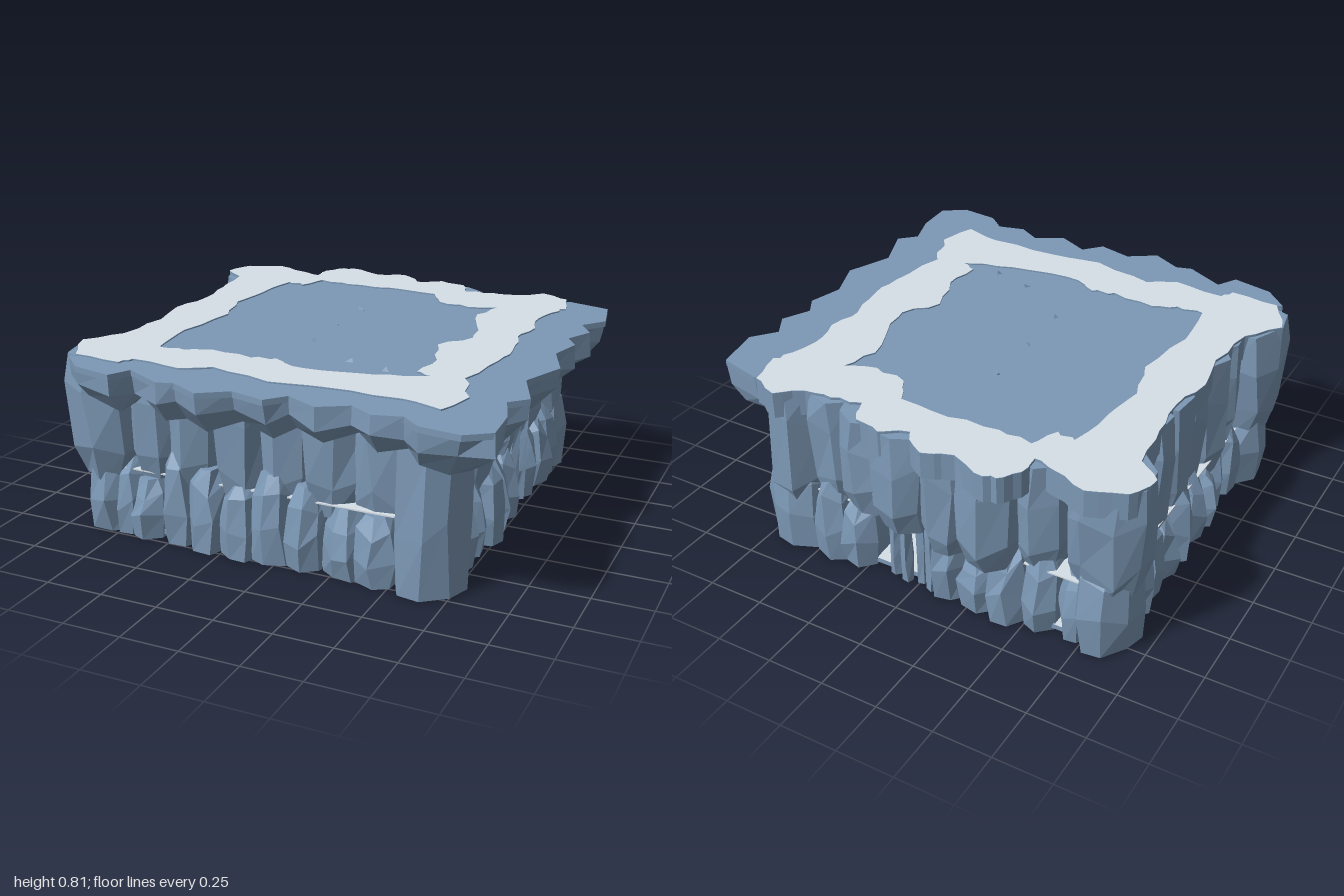
import * as THREE from 'three';

const slate = new THREE.MeshStandardMaterial({ color: 0x7c98b5, flatShading: true, side: THREE.DoubleSide });
slate.name = 'slate blue rock';
const pale = new THREE.MeshStandardMaterial({ color: 0xd8e1e8, flatShading: true });
pale.name = 'pale grey stone';

let seed = 11;
const rnd = () => (seed = (seed * 16807) % 2147483647) / 2147483647;
const jit = a => (rnd() - 0.5) * 2 * a;

// x,z outlines of the pale rim and of the overhanging shelf
const rimOuter = [-.98,-.7, -.93,-.83, -.78,-.89, -.62,-.83, -.53,-.8, -.53,-.9, -.47,-.98, -.38,-.99, -.26,-.93, -.14,-.98,
  -.03,-.88, .08,-.94, .2,-.91, .25,-.8, .38,-.83, .5,-.84, .6,-.92, .73,-.86, .77,-.7, .73,-.62, .7,-.5, .73,-.35,
  .7,-.2, .74,0, .73,.15, .68,.42, .77,.62, .72,.79, .55,.74, .22,.74, 0,.77, -.28,.7, -.4,.77, -.63,.74, -.66,.8,
  -.88,.78, -.97,.6, -.86,.45, -.83,.2, -.87,0, -.83,-.2, -.85,-.4, -.88,-.62];
const rimInner = [-.6,-.62, -.52,-.6, -.47,-.72, -.32,-.7, -.1,-.72, .13,-.7, .2,-.58, .35,-.55, .48,-.6, .43,-.45,
  .5,-.25, .53,-.1, .43,.05, .5,.25, .48,.42, .55,.45, .4,.5, .2,.55, 0,.56, -.1,.5, -.2,.53, -.4,.5, -.5,.55,
  -.62,.55, -.65,.3, -.6,0, -.66,-.2, -.63,-.4];
const shelfEdge = [-.9,.8, -.8,.9, -.62,.94, -.57,.85, -.4,.94, -.33,.92, -.2,.99, -.08,.91, .07,.95, .14,.87, .28,.94,
  .4,.87, .5,.93, .62,.9, .7,.97, .87,.99, .97,.92, .96,.75, .91,.6, .98,.53, .9,.33, .98,.13, .91,-.05, .95,-.2,
  .9,-.28, .96,-.4, .9,-.5, .98,-.6, .94,-.8, .75,-.85];

const pairs = a => Array.from({ length: a.length / 2 }, (_, i) => [a[2 * i], a[2 * i + 1]]);
const toShape = pts => new THREE.Shape(pts.map(([x, z]) => new THREE.Vector2(x, -z)));
const square = (cx, cz, r) => [[cx - r, cz - r], [cx + r, cz - r], [cx + r, cz + r], [cx - r, cz + r]];

// break every edge of an outline into small uneven steps
const rough = pts => pts.flatMap(([x, z], i) => {
  const [X, Z] = pts[(i + 1) % pts.length];
  return [0, .33, .67].map(t => [x + (X - x) * t + (t && jit(.012)), z + (Z - z) * t + (t && jit(.012))]);
});

function add(parent, name, geo, mat) {
  const m = new THREE.Mesh(geo, mat);
  m.name = name;
  parent.add(m);
  return m;
}

// horizontal plate from a plan outline
function plate(parent, name, shape, y, depth, mat) {
  const geo = depth ? new THREE.ExtrudeGeometry(shape, { depth, bevelEnabled: false }) : new THREE.ShapeGeometry(shape);
  geo.rotateX(-Math.PI / 2).translate(0, y, 0);
  return add(parent, name, geo, mat);
}

// skin over rows of points, optionally closed into a capped solid
function loft(rows, closed) {
  const p = [], n = rows[0].length;
  const tri = (...v) => v.forEach(q => p.push(...q));
  for (let r = 0; r < rows.length - 1; r++) {
    for (let i = 0; i < (closed ? n : n - 1); i++) {
      const j = (i + 1) % n, A = rows[r], B = rows[r + 1];
      tri(A[i], B[i], A[j]);
      tri(A[j], B[i], B[j]);
    }
  }
  if (closed) {
    const lo = rows[0], hi = rows[rows.length - 1];
    for (let i = 1; i < n - 1; i++) {
      tri(hi[0], hi[i + 1], hi[i]);
      tri(lo[0], lo[i], lo[i + 1]);
    }
  }
  const g = new THREE.BufferGeometry();
  g.setAttribute('position', new THREE.Float32BufferAttribute(p, 3));
  g.computeVertexNormals();
  return g;
}

// faceted boulder: levels are [height fraction, width factor]
function rock(parent, name, x, z, w, d, y0, y1, levels, sides = 7) {
  const turn = rnd() * 6;
  const shape = Array.from({ length: sides }, () => 1 + jit(0.1));
  const rows = levels.map(([t, s], k) => shape.map((f, i) => {
    const a = turn + (i + jit(0.15)) / sides * Math.PI * 2;
    const edge = k === 0 || k === levels.length - 1;
    const r = 0.53 * s * f * (1 + jit(0.06));
    return [x + Math.cos(a) * r * w, y0 + (y1 - y0) * (t + (edge ? 0 : jit(0.1))), z + Math.sin(a) * r * d];
  }));
  return add(parent, name, loft(rows, true), slate);
}

const UPPER = [[0, .7], [.25, .95], [.7, 1.03], [1, .95]];
const LOWER = [[0, .92], [.4, 1.05], [.78, .88], [1, .52]];
const PILLAR = [[0, 1], [.35, 1.04], [.7, 1], [1, .95]];

export function createModel() {
  const model = new THREE.Group();
  model.name = 'rockPlateau';
  const walls = new THREE.Group();
  walls.name = 'cliffWalls';
  model.add(walls);

  // flat top, pale rim and the rock edge beneath it
  const rim = toShape(rough(pairs(rimOuter)));
  rim.holes.push(toShape(rough(pairs(rimInner))));
  plate(model, 'rimRock', rim, 0.68, 0.115, slate);
  plate(model, 'paleRim', rim, 0.797, 0, pale);
  const edge = pairs(shelfEdge);
  plate(model, 'topSlab', toShape([...edge, [.5, -.77], [-.5, -.77], [-.72, -.7], [-.75, .7]]), 0.765, 0.025, slate);

  // undercut shelf along the front and right; its bulges hang lower than its notches
  const profile = [[.79, 0, 0], [.7, .03, .02], [.63, .25, .012], [.63, 1, 0]];
  const shelfRows = profile.map(([y, t, j]) => edge.map(([x, z]) => {
    const tx = Math.min(x, .6), tz = Math.min(z, .62), k = t + (j ? jit(0.06) : 0);
    const sag = t > .1 ? (Math.max(x, z) - .91) * .45 : 0;
    return [x + (tx - x) * k, y - sag + jit(j), z + (tz - z) * k];
  }));
  add(model, 'overhangShelf', loft(shelfRows, false), slate);

  // two tiers of boulders on every side
  const backEdge = x => (x < -.52 ? -.85 : x < .22 ? -.95 : -.86);
  const sides = [
    { name: 'front', alongX: true, from: -.7, to: .52, up: () => .74, low: .79, dir: 1, base: .24 },
    { name: 'back', alongX: true, from: -.63, to: .5, up: backEdge, low: -.88, dir: -1, base: .29, gap: [-.1, .15] },
    { name: 'right', alongX: false, from: -.58, to: .52, up: () => .72, low: .76, dir: 1, base: .24, gap: [-.34, -.1] },
    { name: 'left', alongX: false, from: -.6, to: .5, up: () => -.86, low: -.9, dir: -1, base: .22 },
  ];
  for (const s of sides) {
    const span = s.to - s.from;
    const put = (name, u, outer, w, d, ...rest) => {
      const v = outer - s.dir * d / 2;
      if (s.alongX) rock(walls, name, u, v, w, d, ...rest);
      else rock(walls, name, v, u, d, w, ...rest);
    };
    for (let i = 0; i < 6; i++) {
      const u = s.from + span * (i + .5) / 6;
      put(s.name + 'UpperRock', u + jit(.012), s.up(u) + jit(.012), span / 6 * 1.32, .28, s.base + jit(.04), .785, UPPER);
    }
    for (let i = 0; i < 8; i++) {
      const u = s.from + span * (i + .5) / 8;
      const y1 = .33 + jit(.08), outer = s.low + jit(.02);
      if (s.gap && u > s.gap[0] && u < s.gap[1]) continue;
      put(s.name + 'LowerRock', u + jit(.01), outer, span / 8 * 1.22, .24, .003, y1, LOWER);
    }
    // slender stone splinters standing in the gaps
    if (s.gap) for (let i = 0; i < 4; i++) {
      const u = s.gap[0] + (s.gap[1] - s.gap[0]) * (i + .5) / 4;
      put(s.name + 'Splinter', u, s.low - s.dir * (.03 + .02 * (i % 2)), .05, .06, .003, .33 + jit(.1), PILLAR, 5);
    }
  }

  // corner boulders
  rock(walls, 'frontRightPillar', .64, .64, .27, .33, .003, .785, PILLAR, 8);
  rock(walls, 'backRightUpperRock', .61, -.72, .3, .33, .2, .785, UPPER, 8);
  rock(walls, 'backRightLowerRock', .62, -.78, .28, .22, .003, .43, LOWER, 8);
  rock(walls, 'backRightFoot', .64, -.62, .25, .2, .003, .36, LOWER, 8);
  for (const z of [.62, -.71]) {
    rock(walls, 'leftCornerUpperRock', -.81, z, .33, .33, .24, .785, UPPER, 8);
    rock(walls, 'leftCornerLowerRock', -.82, z, .25, .3, .003, .42, LOWER, 8);
    rock(walls, 'leftCornerFoot', -.71, z * .99, .17, .3, .003, .34, LOWER, 8);
  }

  // pale ledge between the tiers
  const cx = -.085, cz = -.05;
  const ledge = toShape(square(cx, cz, .765));
  ledge.holes.push(toShape(square(cx, cz, .6)));
  plate(model, 'paleLedge', ledge, .292, .006, pale);

  // paved floor with a square opening and a pale upper face
  const floor = toShape(square(cx, cz, .76));
  floor.holes.push(toShape(square(cx, cz, .3)));
  plate(model, 'floor', floor, .018, .02, slate);
  plate(model, 'paleFloorTop', floor, .04, 0, pale);
  const paving = new THREE.Group();
  paving.name = 'paving';
  model.add(paving);
  for (let i = -6; i <= 6; i++) for (let k = -6; k <= 6; k++) {
    const x = i * .11 + (k % 2 ? .05 : 0), z = k * .11;
    if (Math.max(Math.abs(x), Math.abs(z)) < .34 || Math.abs(x) > .7) continue;
    const stone = add(paving, 'pavingStone', new THREE.CylinderGeometry(.063, .06, .02, 6), slate);
    stone.position.set(cx + x, .016, cz + z);
    stone.rotation.y = rnd() * 3;
  }
  for (const [x, z, r] of [[.16, -.64, .1], [.04, .54, .1], [-.64, .25, .07], [-.22, -.68, .06], [-.67, -.25, .05]]) {
    add(paving, 'palePavingStone', new THREE.CylinderGeometry(r, r, .02, 7), pale).position.set(x, .01, z);
  }

  // small chips on the top
  for (const [x, z] of [[-.09, -.33], [-.1, -.06], [-.07, .2], [.18, .4], [.36, .45]]) {
    const chip = add(model, 'stoneChip', new THREE.TetrahedronGeometry(.034), slate);
    chip.position.set(x, .778, z);
    chip.rotation.set(rnd() * 3, rnd() * 3, 0);
    chip.scale.y = .7;
  }
  return model;
}
